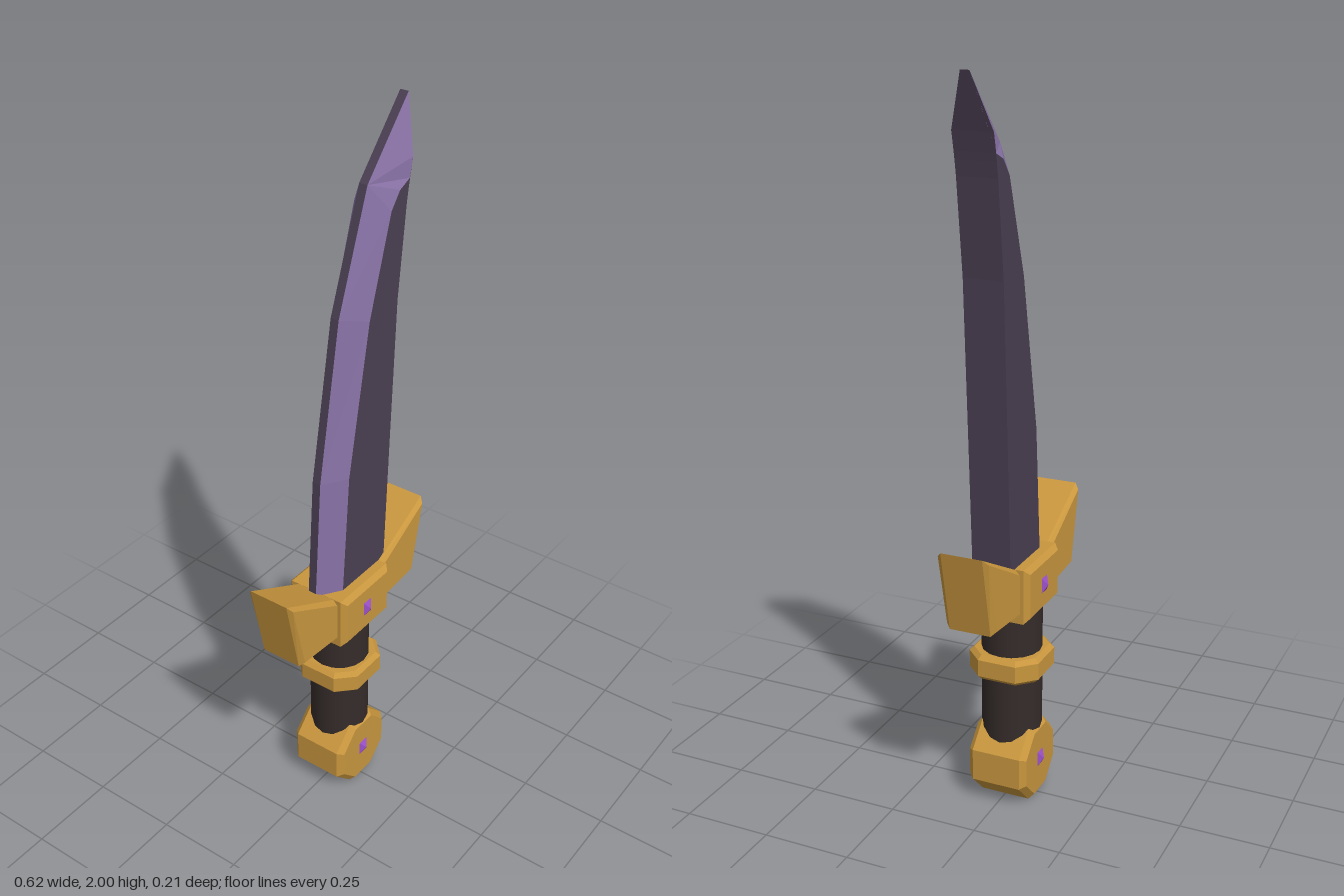
import * as THREE from 'three';

const material = (name, color) => {
  const m = new THREE.MeshStandardMaterial({ color });
  m.name = name;
  m.flatShading = true;
  return m;
};

// Chamfered prism: outline in x/y, extruded evenly about z = 0
function prism(points, halfDepth, bevel) {
  const shape = new THREE.Shape(points.map(([x, y]) => new THREE.Vector2(x, y)));
  const depth = 2 * (halfDepth - bevel);
  return new THREE.ExtrudeGeometry(shape, {
    depth, bevelEnabled: true, bevelSegments: 1,
    bevelSize: bevel, bevelThickness: bevel, bevelOffset: -bevel,
  }).translate(0, 0, -depth / 2);
}

// Octagon with flats on the axes; cut is the half width of each flat
const octagon = (r, cut) => [
  [cut, -r], [r, -cut], [r, cut], [cut, r], [-cut, r], [-r, cut], [-r, -cut], [-cut, -r],
];

// Flat faces from quads, leaving out collapsed triangles
function quadsGeometry(quads) {
  const positions = [];
  for (const [a, b, c, d] of quads) {
    for (const t of [[a, b, c], [a, c, d]]) {
      const tri = new THREE.Triangle(...t.map((p) => new THREE.Vector3(...p)));
      if (tri.getArea() > 1e-7) positions.push(...t.flat());
    }
  }
  const g = new THREE.BufferGeometry();
  g.setAttribute('position', new THREE.Float32BufferAttribute(positions, 3));
  g.computeVertexNormals();
  return g;
}

export function createModel() {
  const model = new THREE.Group();
  model.name = 'curvedDagger';
  const gold = material('gold', 0xc8963e);
  const bladeDark = material('dark blade steel', 0x4a3f52);
  const bladeEdge = material('purple bevel', 0x8670a3);
  const leather = material('dark leather', 0x352c2a);
  leather.flatShading = false;
  const gemPurple = material('purple gem', 0x9a50c8);

  const add = (name, geometry, mat, x = 0, y = 0, z = 0) => {
    const mesh = new THREE.Mesh(geometry, mat);
    mesh.name = name;
    mesh.position.set(x, y, z);
    model.add(mesh);
    return mesh;
  };

  // Blade stations: cutting edge, bevel line, spine, spine half thickness
  const T = 0.055, E = 0.012;
  const tip = [0.26, 2];
  const stations = [
    [[-0.128, 0.66], [-0.064, 0.66], [0.128, 0.66], T],
    [[-0.1, 1.07], [-0.033, 1.07], [0.148, 1.07], T],
    [[-0.02, 1.51], [0.05, 1.49], [0.17, 1.5], T],
    [[0.095, 1.82], [0.135, 1.75], [0.2, 1.75], T],
    [[0.095, 1.82], [0.17, 1.793], [0.207, 1.79], T],
    [[0.095, 1.82], [0.21, 1.81], [0.211, 1.81], T],
    [tip, [0.222, 1.86], [0.222, 1.86], T],
    [tip, tip, tip, E],
  ];
  const bevels = [], flats = [], rims = [];
  for (let k = 0; k + 1 < stations.length; k++) {
    const [o0, i0, s0, t0] = stations[k];
    const [o1, i1, s1, t1] = stations[k + 1];
    for (const side of [1, -1]) {
      const at = (p, z) => [p[0], p[1], z * side];
      const wind = (q) => (side > 0 ? q : q.reverse());
      bevels.push(wind([at(o0, E), at(i0, t0), at(i1, t1), at(o1, E)]));
      flats.push(wind([at(i0, t0), at(s0, t0), at(s1, t1), at(i1, t1)]));
    }
    rims.push([[...s0, t0], [...s0, -t0], [...s1, -t1], [...s1, t1]]);
    rims.push([[...o0, -E], [...o0, E], [...o1, E], [...o1, -E]]);
  }
  add('bladeBevel', quadsGeometry(bevels), bladeEdge);
  add('bladeFlats', quadsGeometry(flats), bladeDark);
  add('bladeSpineAndEdge', quadsGeometry(rims), bladeDark);

  // Guard block with a flared wing on each side
  add('guardBlock', prism([[-0.107, 0.568], [0.107, 0.568], [0.107, 0.722], [-0.107, 0.722]], 0.095, 0.014), gold);
  const wing = [[0.06, 0.58], [0.262, 0.597], [0.308, 0.826], [0.06, 0.697]];
  add('leftGuardWing', prism(wing, 0.071, 0.013), gold);
  add('rightGuardWing', prism(wing.map(([x, y]) => [-x, y]).reverse(), 0.071, 0.013), gold);

  // Grip and its ring
  add('grip', new THREE.CylinderGeometry(0.084, 0.084, 0.43, 16), leather, 0, 0.375, 0);
  add('gripRing', prism(octagon(0.103, 0.055), 0.036, 0.012).rotateX(-Math.PI / 2), gold, 0, 0.41, 0);

  // Pommel
  add('pommel', prism(octagon(0.11, 0.0456), 0.086, 0.016), gold, 0, 0.112, 0);

  // Faceted gems on both faces of the guard and pommel
  const gem = new THREE.ConeGeometry(0.02 * Math.SQRT2, 0.014, 4)
    .rotateY(Math.PI / 4).rotateX(Math.PI / 2).scale(1, 1.25, 1);
  for (const [part, y, z] of [['guard', 0.645, 0.1], ['pommel', 0.115, 0.091]]) {
    add(part + 'FrontGem', gem, gemPurple, 0, y, z);
    add(part + 'BackGem', gem, gemPurple, 0, y, -z).rotation.y = Math.PI;
  }
  return model;
}
